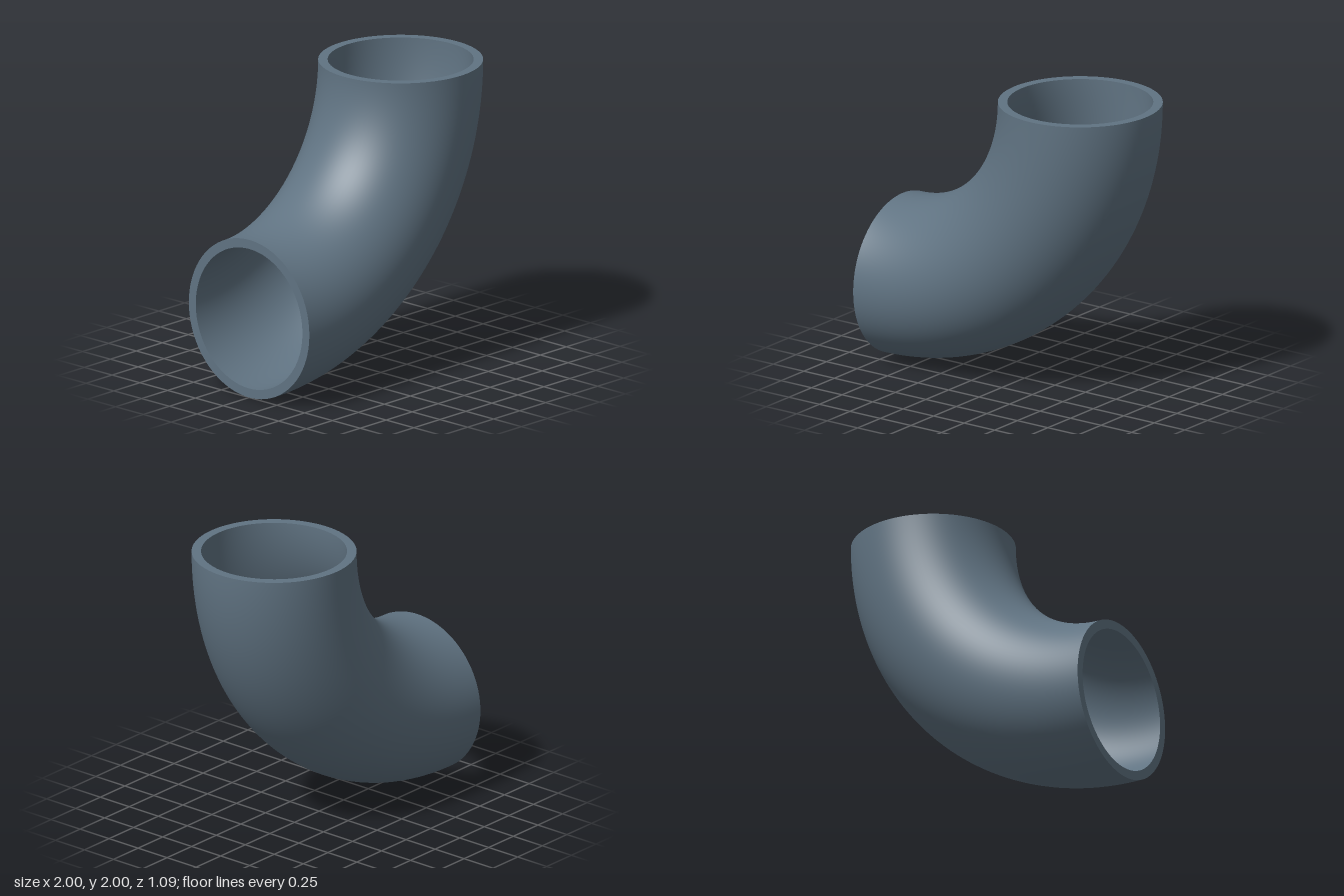
import * as THREE from 'three';

const BEND = 1.4575;   // bend radius along the pipe's centre line
const OUTER = 0.5425;  // outside radius of the pipe
const BORE = 0.48;     // inside radius of the pipe
const SIDES = 96;

// Quarter torus sweeping from the left-hand mouth up to the top mouth
function quarterBend(radius) {
  return new THREE.TorusGeometry(BEND, radius, SIDES, 96, Math.PI / 2).rotateZ(-Math.PI / 2);
}

// Turn a surface inside out so it shows from within
function turnInward(geometry) {
  geometry.index.array.reverse();
  const normals = geometry.attributes.normal.array;
  for (let i = 0; i < normals.length; i++) normals[i] *= -1;
  return geometry;
}

export function createModel() {
  const group = new THREE.Group();
  group.name = 'pipeElbow';
  const material = new THREE.MeshStandardMaterial({ color: 0x607382 });

  const add = (name, geometry, x, y) => {
    const mesh = new THREE.Mesh(geometry, material);
    mesh.name = name;
    mesh.position.set(x, y, 0);
    group.add(mesh);
  };

  // Pipe walls, bent about the upper left corner
  add('outerWall', quarterBend(OUTER), -1, 2);
  add('innerWall', turnInward(quarterBend(BORE)), -1, 2);

  // Flat rims closing the wall thickness at both mouths
  const rim = () => new THREE.RingGeometry(BORE, OUTER, SIDES, 1);
  add('topRim', rim().rotateX(-Math.PI / 2), -1 + BEND, 2);
  add('sideRim', rim().rotateY(-Math.PI / 2), -1, 2 - BEND);

  return group;
}
